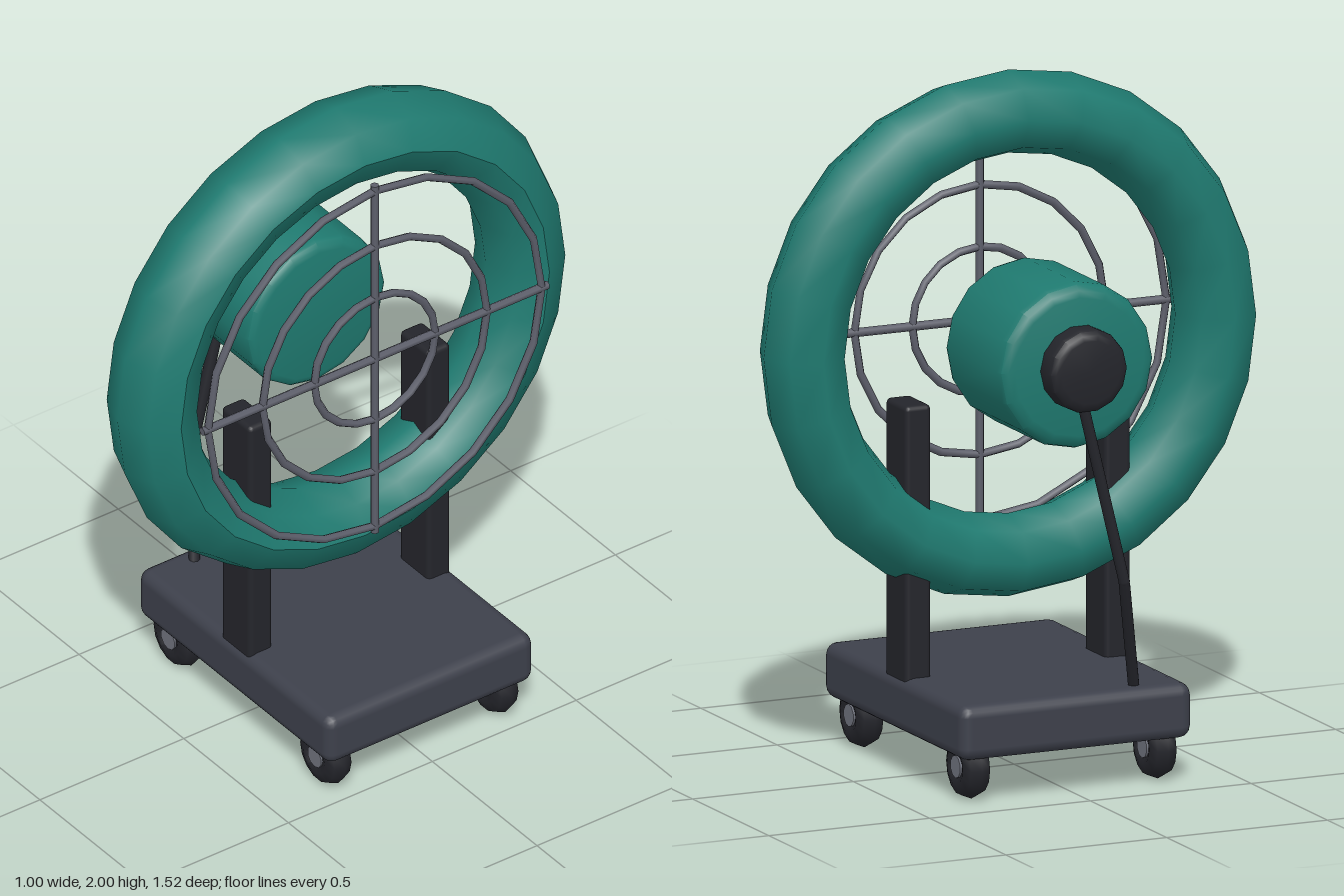
import * as THREE from 'three';
import { toCreasedNormals } from 'three/addons/utils/BufferGeometryUtils.js';
import { RoundedBoxGeometry } from 'three/addons/geometries/RoundedBoxGeometry.js';

const paint = (color) => new THREE.MeshStandardMaterial({ color });
const green = paint(0x1f7a70);
const slate = paint(0x3d404b);
const black = paint(0x24252b);
const steel = paint(0x5d5f6b);
const hubGrey = paint(0x6f727d);

const AXIS_Y = 1.24; // height of the fan axis, which runs along x

function add(parent, name, geometry, material, x = 0, y = 0, z = 0) {
  const mesh = new THREE.Mesh(geometry, material);
  mesh.name = name;
  mesh.position.set(x, y, z);
  parent.add(mesh);
  return mesh;
}

// Solid of revolution around x; points are [radius, x]
function latheX(points, segments) {
  const g = new THREE.LatheGeometry(points.map(([r, x]) => new THREE.Vector2(r, x)), segments);
  return g.rotateZ(-Math.PI / 2);
}

// Closed drum along x with rounded rims
function drum(radius, x0, x1, bevel0, bevel1, segments) {
  const points = [[0, x0]];
  for (let i = 0; i <= 3; i++) {
    const a = (i / 3) * Math.PI / 2;
    points.push([radius - bevel0 * (1 - Math.sin(a)), x0 + bevel0 * (1 - Math.cos(a))]);
  }
  for (let i = 0; i <= 3; i++) {
    const a = (i / 3) * Math.PI / 2;
    points.push([radius - bevel1 * (1 - Math.cos(a)), x1 - bevel1 * (1 - Math.sin(a))]);
  }
  points.push([0, x1]);
  return toCreasedNormals(latheX(points, segments), 0.6);
}

function rod(a, b, radius, sides) {
  return new THREE.TubeGeometry(new THREE.LineCurve3(a, b), 1, radius, sides, false);
}

export function createModel() {
  const model = new THREE.Group();
  model.name = 'floorFan';

  // Fat eight-sided shroud ring, its seam on the guard side
  const profile = [];
  for (let i = 0; i <= 8; i++) {
    const a = Math.PI / 2 + (i / 8) * Math.PI * 2;
    profile.push([0.64 + 0.12 * Math.cos(a), 0.14 * Math.sin(a)]);
  }
  add(model, 'shroudRing', latheX(profile, 24), green, 0.04, AXIS_Y, 0);

  // Motor and its rear cap
  add(model, 'motorHousing', drum(0.24, -0.43, -0.04, 0.04, 0.03, 16), green, 0, AXIS_Y, 0);
  add(model, 'motorCap', drum(0.122, -0.505, -0.42, 0.03, 0.005, 14), black, 0, AXIS_Y, 0);

  // Wire guard
  const guard = new THREE.Group();
  guard.name = 'guard';
  guard.position.set(0.225, AXIS_Y, 0);
  model.add(guard);
  for (const r of [0.21, 0.39, 0.58]) {
    add(guard, 'guardRing', new THREE.TorusGeometry(r, 0.012, 6, 20).rotateY(Math.PI / 2), steel);
  }
  add(guard, 'guardSpoke', new THREE.CylinderGeometry(0.013, 0.013, 1.2, 6), steel);
  add(guard, 'guardSpoke', new THREE.CylinderGeometry(0.013, 0.013, 1.2, 6).rotateX(Math.PI / 2), steel);

  // Base and the two posts
  add(model, 'base', new RoundedBoxGeometry(0.92, 0.16, 0.72, 2, 0.035), slate, 0.04, 0.21, 0);
  for (const side of [1, -1]) {
    add(model, 'post', new RoundedBoxGeometry(0.14, 0.81, 0.08, 2, 0.015), black, 0.04, 0.67, side * 0.31);
  }

  // Power cable from the cap down to the base
  const cable = [[-0.475, 1.18, -0.02], [-0.475, 0.62, 0.117], [-0.355, 0.27, 0.205]]
    .map((p) => new THREE.Vector3(...p));
  add(model, 'cableUpper', rod(cable[0], cable[1], 0.017, 8), black);
  add(model, 'cableLower', rod(cable[1], cable[2], 0.017, 8), black);
  add(model, 'cableBend', new THREE.SphereGeometry(0.017, 8, 6), black, cable[1].x, cable[1].y, cable[1].z);

  // Four wheels with hubs
  for (const x of [-0.31, 0.39]) {
    for (const z of [-0.29, 0.29]) {
      const wheel = new THREE.Group();
      wheel.name = 'wheel';
      wheel.position.set(x, 0.095, z);
      model.add(wheel);
      add(wheel, 'tyre', new THREE.TorusGeometry(0.052, 0.042, 8, 14), black);
      add(wheel, 'hub', new THREE.CylinderGeometry(0.033, 0.033, 0.08, 10).rotateX(Math.PI / 2), hubGrey);
    }
  }
  return model;
}
